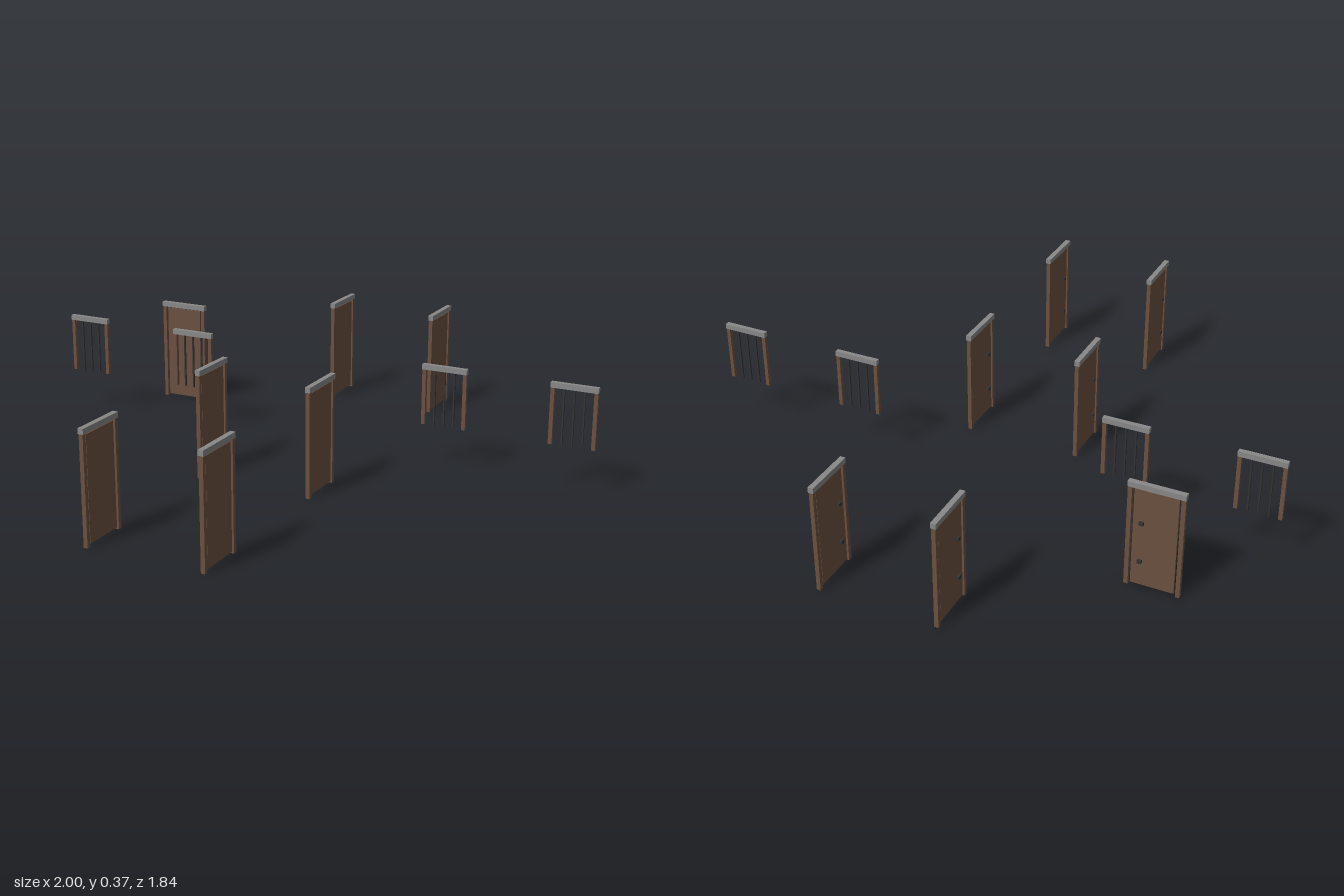
import * as THREE from 'three';

const wood = new THREE.MeshStandardMaterial({ color: 0x6b5040 });
const stone = new THREE.MeshStandardMaterial({ color: 0x888888 });
const iron = new THREE.MeshStandardMaterial({ color: 0x333333 });

function box(parent, name, mat, [w, h, d], [x, y, z]) {
  const mesh = new THREE.Mesh(new THREE.BoxGeometry(w, h, d), mat);
  mesh.name = name;
  mesh.position.set(x, y, z);
  parent.add(mesh);
}

// Door along local x; ironSide is the local z side that carries the fittings
function makeDoor(ironSide) {
  const door = new THREE.Group();
  door.name = 'door';
  for (const s of [-1, 1]) {
    box(door, 'doorPost', wood, [0.014, 0.355, 0.014], [s * 0.083, 0.1775, 0]);
  }
  box(door, 'doorLintel', stone, [0.182, 0.018, 0.018], [0, 0.363, 0]);
  box(door, 'doorPanel', wood, [0.14, 0.341, 0.008], [0, 0.1785, 0]);
  for (const y of [0.095, 0.234]) {
    box(door, 'doorFitting', iron, [0.014, 0.012, 0.008], [0.042, y, ironSide * 0.008]);
  }
  return door;
}

// Barred window opening along x
function makeWindow() {
  const win = new THREE.Group();
  win.name = 'barredWindow';
  for (const s of [-1, 1]) {
    box(win, 'windowPost', wood, [0.013, 0.19, 0.013], [s * 0.0715, 0.25, 0]);
  }
  box(win, 'windowLintel', stone, [0.157, 0.018, 0.017], [0, 0.354, 0]);
  for (const i of [-1, 0, 1]) {
    box(win, 'windowBar', iron, [0.005, 0.19, 0.006], [i * 0.034, 0.25, 0]);
  }
  return win;
}

export function createModel() {
  const model = new THREE.Group();
  model.name = 'doorsAndWindows';

  // Two rows of three side doors, fittings facing -x
  for (const x of [-0.2, 0.2]) {
    for (const z of [-0.828, 0.174, 0.828]) {
      const door = makeDoor(1);
      door.rotation.y = -Math.PI / 2;
      door.position.set(x, 0, z);
      model.add(door);
    }
  }

  // Single door across the depth, fittings facing the back
  const backDoor = makeDoor(-1);
  backDoor.position.set(-0.7, 0, -0.48);
  model.add(backDoor);

  // Row of raised windows
  for (const x of [-0.922, -0.482, 0.482, 0.922]) {
    const win = makeWindow();
    win.position.set(x, 0, -0.179);
    model.add(win);
  }
  return model;
}
